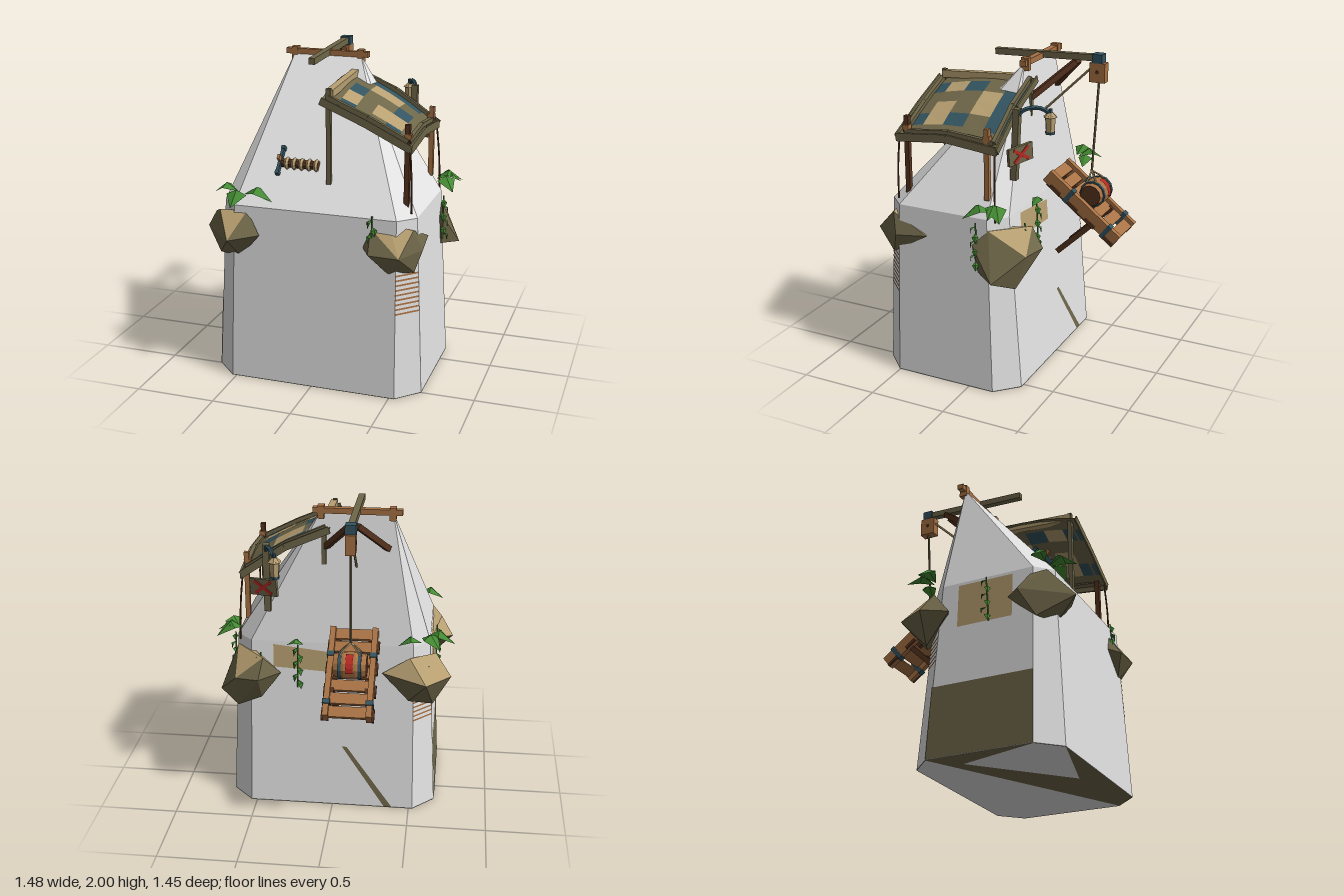
import * as THREE from 'three';
import { ConvexGeometry } from 'three/addons/geometries/ConvexGeometry.js';

const V = (a) => new THREE.Vector3(...a);

export function createModel() {
  const root = new THREE.Group();
  const mat = (name, color) => {
    const m = new THREE.MeshStandardMaterial({ color, flatShading: true, side: THREE.DoubleSide });
    m.name = name;
    return m;
  };
  const stone = mat('pale stone', 0xe4e4e4), olive = mat('olive', 0x6f6749), tan = mat('tan', 0xb8a072);
  const wood = mat('orange wood', 0xa87245), dark = mat('dark wood', 0x57331f), teal = mat('teal', 0x335460);
  const green = mat('leaf green', 0x448a33), red = mat('red', 0xb52a22);

  const add = (name, geo, m, parent = root) => {
    const mesh = new THREE.Mesh(geo, m);
    mesh.name = name;
    parent.add(mesh);
    return mesh;
  };
  const box = (name, m, size, pos, parent) => {
    const b = add(name, new THREE.BoxGeometry(...size), m, parent);
    b.position.set(...pos);
    return b;
  };
  // square bar running from point a to point b
  const beam = (name, m, a, b, t, t2 = t) => {
    const A = V(a), B = V(b);
    const bar = new THREE.Mesh(new THREE.BoxGeometry(t, t2, A.distanceTo(B)), m);
    bar.name = name;
    bar.position.copy(A).lerp(B, 0.5);
    bar.lookAt(B);
    root.add(bar);
  };
  const rope = (name, m, pts, r = 0.006) =>
    add(name, new THREE.TubeGeometry(new THREE.CatmullRomCurve3(pts.map(V)), 10, r, 5), m);
  // flat convex face through its corners
  const face = (name, m, pts) => {
    const g = new THREE.BufferGeometry().setFromPoints(pts.map(V));
    g.setIndex(pts.slice(2).flatMap((_, i) => [0, i + 1, i + 2]));
    g.computeVertexNormals();
    add(name, g, m);
  };

  // stone tower: bevelled block with a steep hipped top
  const ring = (y, x0, x1, z0, z1, c) => [
    [x0 + c, y, z0], [x1 - c, y, z0], [x1, y, z0 + c], [x1, y, z1 - c],
    [x1 - c, y, z1], [x0 + c, y, z1], [x0, y, z1 - c], [x0, y, z0 + c]];
  const base = ring(0.004, -0.66, 0.67, -0.3, 0.64, 0.135), shoulder = ring(1.12, -0.6, 0.62, -0.21, 0.59, 0.1);
  add('tower', new ConvexGeometry([...base, ...shoulder, [-0.35, 1.95, -0.1], [0.085, 1.95, -0.1]].map(V)), stone);
  // underside: rock with two paler areas
  face('underside', olive, ring(0.002, -0.66, 0.67, -0.3, 0.64, 0.135));
  face('undersidePaleBack', stone, [[0.67, 0, 0.505], [-0.66, 0, -0.165], [-0.525, 0, -0.3], [0.535, 0, -0.3], [0.67, 0, -0.165]]);
  face('undersidePaleFront', stone, [[0.03, 0, 0.49], [-0.525, 0, 0.64], [-0.66, 0, 0.505], [-0.51, 0, 0]]);
  // exposed rock on the walls
  face('sideRockFace', olive, [[-0.663, 0.005, -0.165], [-0.663, 0.005, 0.505], [-0.639, 0.45, 0.5], [-0.639, 0.45, -0.15]]);
  face('sideRockBand', tan, [[-0.619, 0.82, 0], [-0.619, 0.82, 0.36], [-0.604, 1.1, 0.36], [-0.604, 1.1, 0]]);
  face('backRockBand', tan, [[0.38, 0.95, -0.227], [0.0, 0.93, -0.229], [0.0, 1.06, -0.218], [0.38, 1.1, -0.215]]);
  face('backRockSeam', olive, [[-0.34, 0.005, -0.303], [-0.39, 0.005, -0.303], [-0.09, 0.42, -0.27], [-0.06, 0.42, -0.27]]);
  // thin rusty streaks across two corner bevels; i and j are the bevel's ring corners
  const streaks = (i, j, y0, y1, out) => {
    const at = (k, y) => base[k].map((b, n) => (n === 1 ? y : b + (shoulder[k][n] - b) * y / 1.12 + out * (n ? 1 : Math.sign(out))
      * (n ? 1 : Math.abs(out))));
    for (let y = y0; y < y1; y += 0.03) face('rustStreak', wood, [at(i, y), at(j, y), at(j, y + 0.011), at(i, y + 0.011)]);
  };
  streaks(3, 4, 0.54, 0.8, 0.003);
  streaks(7, 0, 0.62, 0.8, -0.003);

  // corner boulders: tan on faces turned up, olive elsewhere
  const rock = (name, pts) => {
    const g = new ConvexGeometry(pts.map(V)), n = g.attributes.normal;
    for (let i = 0; i < n.count; i += 3) g.addGroup(i, 3, n.getY(i) > 0.6 ? 0 : 1);
    add(name, g, [tan, olive]);
  };
  rock('frontLeftRock', [[-0.74, 0.92, 0.45], [-0.6, 1.08, 0.58], [-0.42, 1.09, 0.58], [-0.33, 0.95, 0.62],
    [-0.47, 0.79, 0.58], [-0.63, 0.78, 0.52], [-0.5, 0.93, 0.72], [-0.6, 0.95, 0.32], [-0.66, 1.04, 0.5]]);
  rock('frontRightRock', [[0.32, 0.94, 0.6], [0.36, 1.06, 0.58], [0.47, 1.08, 0.56], [0.61, 1.06, 0.54], [0.56, 0.92, 0.68],
    [0.37, 0.92, 0.67], [0.48, 0.79, 0.6], [0.62, 0.8, 0.54], [0.64, 0.95, 0.29], [0.66, 0.93, 0.5]]);
  rock('backRightRock', [[0.33, 0.92, -0.25], [0.45, 0.93, -0.4], [0.6, 0.92, -0.36], [0.73, 0.76, -0.19], [0.66, 0.96, -0.03],
    [0.64, 0.78, -0.06], [0.6, 0.7, -0.29], [0.45, 0.76, -0.28], [0.43, 1.05, -0.32], [0.62, 1.05, -0.12], [0.5, 1.05, -0.2]]);
  rock('backLeftRock', [[-0.74, 0.92, -0.19], [-0.59, 0.95, -0.41], [-0.31, 0.95, -0.25], [-0.64, 1.06, -0.15],
    [-0.48, 1.06, -0.25], [-0.63, 0.73, -0.2], [-0.48, 0.78, -0.28], [-0.65, 0.92, -0.04]]);

  // folded, arched leaves, yaw 0 points to +z
  const leaf = (x, y, z, yaw, L, pitch) => {
    const w = L * 0.34;
    const g = new THREE.BufferGeometry().setFromPoints([[0, 0, 0], [w, L * 0.1, L * 0.5], [0, -L * 0.25, L],
      [-w, L * 0.1, L * 0.5], [0, L * 0.25, L * 0.5]].map(V));
    g.setIndex([0, 4, 1, 1, 4, 2, 0, 3, 4, 3, 2, 4]);
    g.computeVertexNormals();
    const l = add('leaf', g, green);
    l.rotation.order = 'YXZ';
    l.position.set(x, y, z);
    l.rotation.set(pitch, yaw, 0);
  };
  [[-0.45, 1.18, 0.54, 1.45, 0.18], [-0.47, 1.17, 0.53, 0, 0.19], [-0.5, 1.19, 0.53, -1.7, 0.16],
    [-0.57, 1.18, -0.18, -1.7, 0.18], [-0.55, 1.18, -0.2, -2.4, 0.17], [-0.55, 1.18, -0.27, 1.7, 0.14],
    [0.58, 1.18, -0.14, 2.2, 0.18], [0.6, 1.17, -0.14, 0.7, 0.18], [0.58, 1.19, -0.17, 1.6, 0.15],
    [0.18, 1.13, -0.27, 1.4, 0.11]].forEach((p) => leaf(...p, -0.1));
  // trailing vines
  [[0.22, 1.1, -0.25, 3.1, 6], [-0.635, 1.08, 0.2, -1.6, 6], [0.375, 1.12, 0.6, 0, 4], [0.65, 1.08, -0.05, 1.2, 6],
    [-0.6, 1.0, -0.26, 3.9, 4], [0.45, 1.05, -0.28, 2.9, 4]].forEach(([x, y, z, yaw, n]) => {
    rope('vine', green, [[x, y + 0.02, z], [x, y - n * 0.045, z + Math.sign(z) * 0.015]], 0.005);
    for (let i = 0; i < n; i++) leaf(x, y - i * 0.045, z, yaw + (i % 2 ? 0.8 : -0.8), 0.06, 0.8);
  });

  // ridge beam and hoist
  box('ridgeBeam', wood, [0.545, 0.035, 0.04], [-0.137, 1.955, -0.11]);
  for (const x of [-0.35, 0.085]) box('ridgePeg', wood, [0.04, 0.08, 0.05], [x, 1.945, -0.11]);
  beam('hoistArm', olive, [-0.135, 1.95, 0.2], [-0.135, 1.975, -0.5], 0.04);
  box('hoistCap', teal, [0.065, 0.055, 0.065], [-0.135, 1.9725, -0.495]);
  box('pulleyBlock', wood, [0.06, 0.12, 0.1], [-0.135, 1.885, -0.495]);
  const axle = add('pulleyAxle', new THREE.CylinderGeometry(0.012, 0.012, 0.068, 6), dark);
  axle.rotation.z = Math.PI / 2;
  axle.position.set(-0.135, 1.89, -0.495);
  for (const s of [-1, 1]) beam('hoistBrace', dark, [-0.137 + s * 0.19, 1.73, -0.13], [-0.137 + s * 0.02, 1.94, -0.35], 0.035);
  rope('stayRope', tan, [[-0.135, 1.6, -0.13], [-0.135, 1.92, -0.46]], 0.008);
  rope('hoistRope', olive, [[-0.135, 1.83, -0.5], [-0.135, 1.245, -0.467]], 0.008);
  for (const x of [-0.06, 0.06]) for (const z of [-0.425, -0.56]) {
    rope('sling', tan, [[-0.135, 1.25, -0.467], [-0.135 + x, 1.19, (z - 0.49) / 2], [-0.135 + x, 1.15, z]]);
  }

  // tilted cradle with slats, bands and legs
  const cradle = new THREE.Group();
  cradle.name = 'cradle';
  cradle.position.set(-0.135, 1.04, -0.46);
  cradle.rotation.x = -0.66;
  root.add(cradle);
  for (const s of [-1, 1]) {
    box('cradleRail', wood, [0.035, 0.085, 0.6], [s * 0.13, 0, 0], cradle);
    box('lowerRail', dark, [0.03, 0.03, 0.36], [s * 0.1, -0.055, 0.1], cradle);
    for (const z of [0.11, -0.21]) box('railBand', teal, [0.045, 0.1, 0.03], [s * 0.13, 0, z], cradle);
    for (const z of [-0.26, -0.1, 0.05, 0.2]) box('railClip', dark, [0.014, 0.02, 0.08], [s * 0.153, -0.034, z], cradle);
    beam('cradleLeg', dark, [-0.135 + s * 0.11, 0.98, -0.57], [-0.135 + s * 0.11, 0.71, -0.29], 0.035);
  }
  for (let i = 0; i < 7; i++) box('slat', wood, [0.27, 0.025, 0.07], [0, 0.005, -0.262 + i * 0.0875], cradle);

  // barrel lying across the cradle
  const barrel = new THREE.Group();
  barrel.name = 'barrel';
  barrel.position.set(-0.135, 1.115, -0.5);
  barrel.rotation.z = Math.PI / 2;
  root.add(barrel);
  add('staves', new THREE.LatheGeometry([[0.068, -0.1], [0.085, -0.035], [0.085, 0.035], [0.068, 0.1]]
    .map((p) => new THREE.Vector2(...p)), 12), wood, barrel);
  for (const s of [-1, 1]) {
    add('barrelEnd', new THREE.CylinderGeometry(0.067, 0.067, 0.01, 12), dark, barrel).position.y = s * 0.095;
    add('hoop', new THREE.CylinderGeometry(0.085, 0.085, 0.02, 12), teal, barrel).position.y = s * 0.06;
  }
  add('barrelLabel', new THREE.CylinderGeometry(0.091, 0.091, 0.045, 4, 1, true, 1.9, 1.4), red, barrel);

  // patchwork awning: O olive, T teal, C tan
  const awning = (u, v) => [0.03 + 0.55 * u, 1.785 - 0.25 * u + 0.06 * (1 - v) * (1 - u)
    + 0.025 * Math.sin(u * Math.PI) * (1.4 - v) + 0.035 * Math.sin(v * Math.PI), -0.16 + 0.68 * v];
  const cloth = new THREE.PlaneGeometry(1, 1, 6, 5), cp = cloth.attributes.position;
  for (let i = 0; i < cp.count; i++) cp.setXYZ(i, ...awning(cp.getX(i) + 0.5, 0.5 - cp.getY(i)));
  cloth.computeVertexNormals();
  cloth.clearGroups();
  [...'OTTTTO' + 'OOCCOO' + 'OTOOTO' + 'OCOCCO' + 'OTOOTO'].forEach((c, i) => cloth.addGroup(i * 6, 6, 'OTC'.indexOf(c)));
  add('awning', cloth, [olive, teal, tan]);
  // awning frame, hems, rolled edge and posts
  const lift = (u, v) => { const p = awning(u, v); p[1] += 0.015; return p; };
  for (const [a, b] of [[0, 0.5], [0.5, 1]]) {
    for (const v of [0.05, 0.93]) beam('awningBar', olive, lift(a * 0.9 + 0.05, v), lift(b * 0.9 + 0.05, v), 0.026);
    beam('awningBar', olive, lift(0.95, a * 0.88 + 0.05), lift(0.95, b * 0.88 + 0.05), 0.026);
    beam('awningHem', olive, awning(1, a), awning(1, b), 0.012, 0.05);
    for (const v of [0, 1]) beam('awningHem', olive, awning(a, v), awning(b, v), 0.01, 0.045);
  }
  beam('rolledEdge', tan, [0.07, 1.85, -0.03], [0.07, 1.82, 0.47], 0.045);
  box('tallFrontPost', olive, [0.028, 0.58, 0.028], [0.065, 1.56, 0.465]);
  box('tallBackPost', olive, [0.028, 0.3, 0.028], [0.065, 1.7, -0.13]);
  box('lowFrontPost', dark, [0.03, 0.52, 0.03], [0.545, 1.41, 0.46]);
  box('lowBackPost', wood, [0.03, 0.44, 0.03], [0.555, 1.44, -0.085]);
  for (const z of [0.46, -0.085]) box('postCap', wood, [0.04, 0.03, 0.04], [0.55, 1.6, z]);
  rope('frontGuyRope', dark, [[0.57, 1.56, 0.5], [0.585, 1.35, 0.51], [0.59, 1.15, 0.51]]);
  rope('backGuyRope', dark, [[0.57, 1.56, -0.14], [0.59, 1.35, -0.15], [0.6, 1.1, -0.155]]);

  // lantern post, bent arm and lantern
  beam('lanternPost', olive, [0.41, 1.32, -0.19], [0.41, 1.76, -0.21], 0.04);
  rope('lanternArm', teal, [[0.41, 1.71, -0.21], [0.4, 1.755, -0.25], [0.36, 1.765, -0.33], [0.33, 1.73, -0.385]], 0.013);
  const lantern = new THREE.Group();
  lantern.name = 'lantern';
  lantern.position.set(0.33, 1.67, -0.385);
  root.add(lantern);
  add('lanternGlass', new THREE.CylinderGeometry(0.035, 0.028, 0.1, 6), tan, lantern);
  add('lanternCap', new THREE.CylinderGeometry(0.015, 0.044, 0.028, 6), tan, lantern).position.y = 0.055;
  add('lanternKnob', new THREE.CylinderGeometry(0.012, 0.012, 0.03, 6), teal, lantern).position.y = 0.075;
  add('lanternFoot', new THREE.CylinderGeometry(0.032, 0.032, 0.014, 6), teal, lantern).position.y = -0.055;

  // warning board with a red cross on the back
  const board = new THREE.Group();
  board.name = 'warningBoard';
  board.position.set(0.425, 1.49, -0.235);
  board.rotation.set(0, -0.37, -0.08);
  root.add(board);
  box('boardPlank', olive, [0.19, 0.105, 0.02], [0, 0, 0], board);
  for (const s of [-1, 1]) box('crossStroke', red, [0.14, 0.02, 0.006], [0, 0, -0.012], board).rotation.z = s * 0.6;

  // rope winch on the front slope
  const winch = new THREE.Group();
  winch.name = 'winch';
  winch.position.set(0, 1.36, 0.41);
  root.add(winch);
  const drum = add('drum', new THREE.CylinderGeometry(0.028, 0.028, 0.24, 8), dark, winch);
  drum.rotation.z = Math.PI / 2;
  drum.position.x = -0.14;
  for (let i = 0; i < 5; i++) {
    const coil = add('ropeCoil', new THREE.TorusGeometry(0.026, 0.014, 5, 10), tan, winch);
    coil.rotation.y = Math.PI / 2;
    coil.position.x = -0.22 + i * 0.047;
  }
  const crank = new THREE.Group();
  crank.name = 'crank';
  crank.position.set(-0.262, 0.015, 0.005);
  crank.rotation.x = -0.75;
  winch.add(crank);
  box('crankBar', teal, [0.018, 0.19, 0.03], [0, 0, 0], crank);
  box('crankCross', wood, [0.016, 0.03, 0.1], [0, 0, 0], crank);
  for (const y of [-0.085, 0.085]) box('crankGrip', teal, [0.024, 0.022, 0.036], [0, y, 0], crank);
  return root;
}
